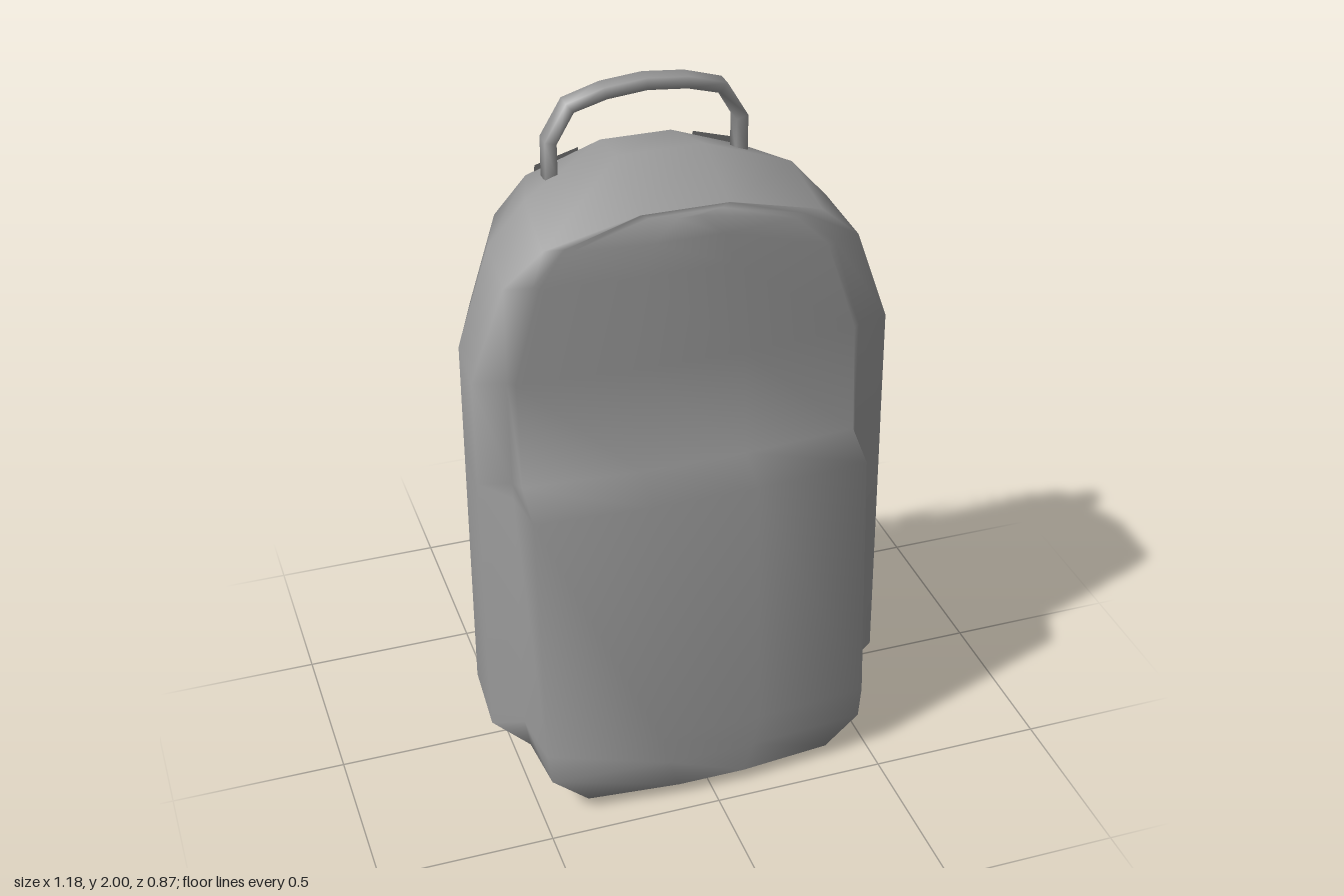
import * as THREE from 'three';

const fabric = new THREE.MeshStandardMaterial({ color: 0x9c9c9c });
const webbing = new THREE.MeshStandardMaterial({ color: 0x9c9c9c, side: THREE.DoubleSide });

// Skins a list of cross-sections with smooth normals; closed ones wrap round and are capped
function loft(rings, closed) {
  const n = rings[0].length, index = [];
  for (let j = 0; j < rings.length - 1; j++) {
    for (let i = 0; i < (closed ? n : n - 1); i++) {
      const a = j * n + i, b = j * n + (i + 1) % n;
      index.push(a, a + n, b + n, a, b + n, b);
    }
  }
  if (closed) {
    const top = (rings.length - 1) * n;
    for (let i = 0; i < n / 2 - 1; i++) {
      const r = i, l = n - 1 - i;
      index.push(top + r, top + l, top + l - 1, top + r, top + l - 1, top + r + 1);
      index.push(r, l - 1, l, r, r + 1, l - 1);
    }
  }
  const g = new THREE.BufferGeometry();
  g.setAttribute('position', new THREE.Float32BufferAttribute(rings.flat(2), 3));
  g.setIndex(index);
  g.computeVertexNormals();
  return g;
}

// Half-sections run from the middle of the back, round the side, to the middle of the front
function bodyRing({ y, w, corner, back, side, front, dyBack = 0, dyFront = 0 }) {
  const s = w / 0.59;
  const sideY = y + dyFront * side / front;
  const half = [
    [0.15 * s, y + dyBack, back + 0.022],
    [0.48 * s, y + dyBack, back],
    [0.575 * s, y, -0.03],
    [w, sideY, side],
    [Math.min(corner + 0.02, w * 0.97), sideY, Math.min(side + 0.025, front - 0.025)],
    [Math.min(corner, w * 0.94), y + dyFront, front - 0.025],
    [0.15 * s, y + dyFront, front],
  ];
  return [...half, ...half.map(([x, py, z]) => [-x, py, z]).reverse()];
}

function makeBody() {
  const rows = [
    { y: 0, w: 0.39, corner: 0.37, back: -0.258, side: 0.21, front: 0.435, dyBack: 0.1, dyFront: 0.035 },
    { y: 0.12, w: 0.5, corner: 0.48, back: -0.266, side: 0.2, front: 0.428, dyBack: 0.04 },
    { y: 0.21, w: 0.59, corner: 0.48, back: -0.275, side: 0.2, front: 0.422 },
    // pocket top step
    { y: 0.97, w: 0.59, corner: 0.48, back: -0.275, side: 0.178, front: 0.365 },
    { y: 1.02, w: 0.59, corner: 0.48, back: -0.275, side: 0.176, front: 0.26 },
    { y: 1.33, w: 0.59, corner: 0.48, back: -0.275, side: 0.168, front: 0.235 },
    { y: 1.62, w: 0.495, corner: 0.4, back: -0.266, side: 0.17, front: 0.212, dyBack: -0.03, dyFront: -0.03 },
    { y: 1.74, w: 0.385, corner: 0.31, back: -0.255, side: 0.173, front: 0.206, dyBack: -0.04, dyFront: -0.06 },
    { y: 1.83, w: 0.125, corner: 0.1, back: -0.245, side: 0.174, front: 0.2, dyBack: -0.05, dyFront: -0.09 },
  ];
  return loft(rows.map(bodyRing), true);
}

// Handle: four-sided band following a loop of straight segments
function makeHandle() {
  const half = [[0.27, 1.74], [0.27, 1.85], [0.215, 1.943], [0.115, 1.972]];
  const path = [...half.map(([x, y]) => [-x, y]), [0, 1.983], ...half.slice().reverse()];
  const section = [[1, 1], [1, -1], [-1, -1], [-1, 1]];
  const rings = path.map(([x, y], k) => {
    const p = path[Math.max(k - 1, 0)], q = path[Math.min(k + 1, path.length - 1)];
    const len = Math.hypot(q[0] - p[0], q[1] - p[1]);
    const nx = -(q[1] - p[1]) / len, ny = (q[0] - p[0]) / len;
    return section.map(([r, d]) =>
      [x - 0.008 + nx * r * 0.017, y + ny * r * 0.017, -0.138 + d * 0.025]);
  });
  return loft(rings, true);
}

// Shoulder strap: thin ribbon, rows of [inner x, outer x, y, z, tilt]
function makeStrap(side) {
  const rows = [
    [0.165, 0.29, 1.75, -0.243, 0.018], [0.157, 0.287, 1.56, -0.312, 0.014],
    [0.15, 0.283, 1.33, -0.385, 0.01], [0.147, 0.28, 1.03, -0.43, 0],
    [0.155, 0.287, 0.8, -0.437, -0.01], [0.19, 0.32, 0.58, -0.422, -0.015],
    [0.235, 0.365, 0.35, -0.36, -0.018], [0.285, 0.41, 0.19, -0.262, -0.018],
  ];
  return loft(rows.map(([a, b, y, z, tilt]) => {
    const edge = [[side * a, y + tilt, z], [side * b, y - tilt, z]];
    return side > 0 ? edge.reverse() : edge;
  }), false);
}

export function createModel() {
  const model = new THREE.Group();
  model.name = 'backpack';
  const add = (name, geometry, material) => {
    const mesh = new THREE.Mesh(geometry, material);
    mesh.name = name;
    model.add(mesh);
  };
  add('body', makeBody(), fabric);
  add('carryHandle', makeHandle(), fabric);
  add('leftStrap', makeStrap(1), webbing);
  add('rightStrap', makeStrap(-1), webbing);
  return model;
}
